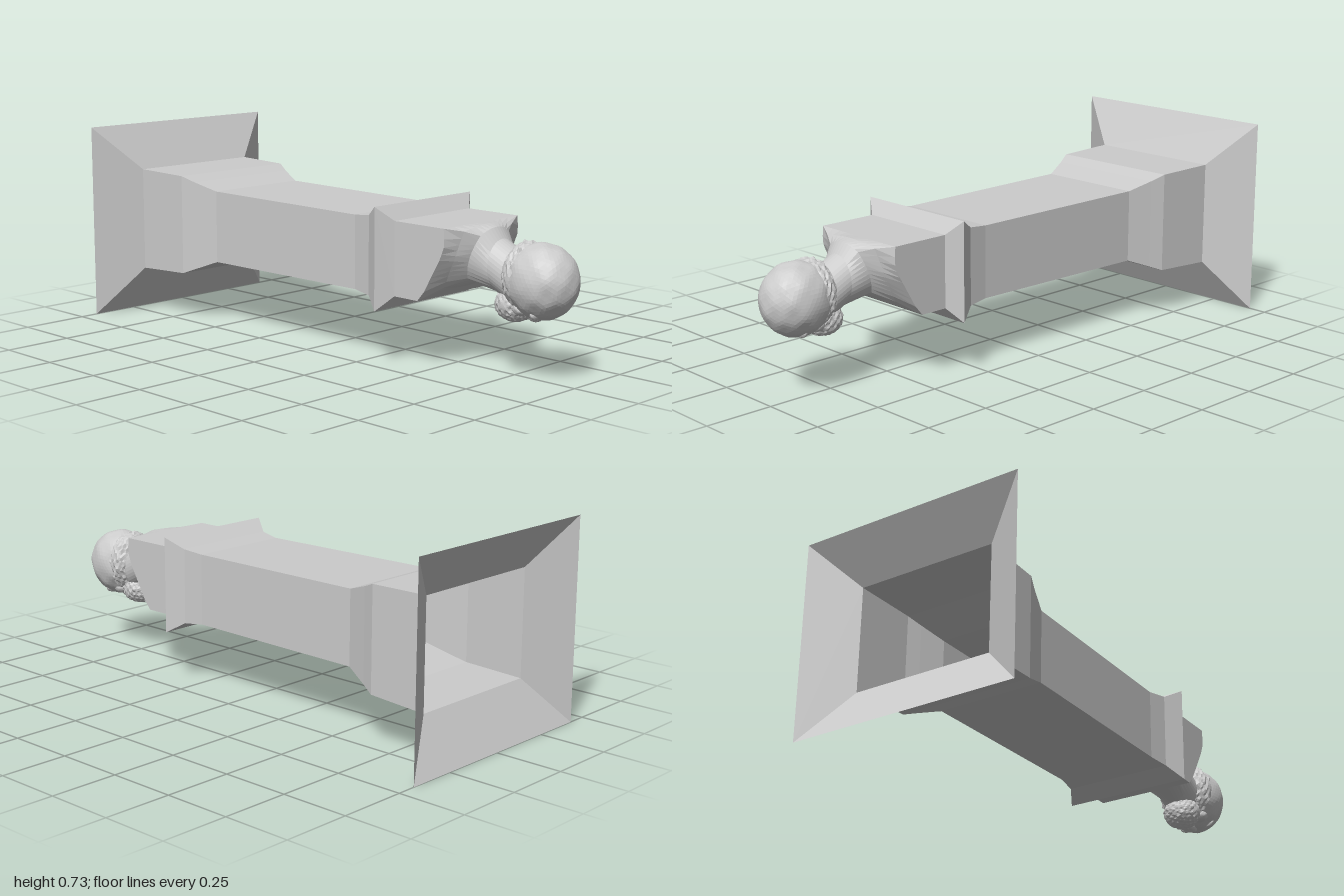
import * as THREE from 'three';

const grey = () => new THREE.MeshStandardMaterial({ color: 0xcccccc, flatShading: true, side: THREE.DoubleSide });

// Skin a list of rings, each an array of [x, y, z] running anticlockwise about +z
function loft(name, rings) {
  const n = rings[0].length, index = [];
  for (let r = 0; r < rings.length - 1; r++) {
    for (let i = 0; i < n; i++) {
      const a = r * n + i, b = r * n + (i + 1) % n;
      index.push(a, b, b + n, a, b + n, a + n);
    }
  }
  const geo = new THREE.BufferGeometry();
  geo.setAttribute('position', new THREE.Float32BufferAttribute(rings.flat(2), 3));
  geo.setIndex(index);
  geo.computeVertexNormals();
  const mesh = new THREE.Mesh(geo, grey());
  mesh.name = name;
  return mesh;
}

// Ring between an ellipse (square = 0) and a rectangle (square = 1); zAt gives depth from height
function ring(n, x0, x1, y0, y1, square, zAt) {
  return Array.from({ length: n }, (_, i) => {
    const t = Math.PI / 4 + i / n * Math.PI * 2, c = Math.cos(t), s = Math.sin(t);
    const k = 1 + square * (1 / Math.max(Math.abs(c), Math.abs(s)) - 1);
    const y = (y0 + y1) / 2 + s * k * (y1 - y0) / 2;
    return [(x0 + x1) / 2 + c * k * (x1 - x0) / 2, y, zAt(y)];
  });
}

// Piecewise linear curve through [input, output] pairs
function curve(points) {
  return v => {
    let i = 1;
    while (i < points.length - 1 && v > points[i][0]) i++;
    const [a, b] = [points[i - 1], points[i]];
    return THREE.MathUtils.mapLinear(THREE.MathUtils.clamp(v, a[0], b[0]), a[0], b[0], a[1], b[1]);
  };
}

// Ellipsoid with a carved, chiselled surface
function carved(name, [x, y, z], [rx, ry, rz], rough, freq) {
  const geo = new THREE.IcosahedronGeometry(1, 9);
  const p = geo.attributes.position, v = new THREE.Vector3();
  for (let i = 0; i < p.count; i++) {
    v.fromBufferAttribute(p, i);
    const bump = Math.sin(v.x * freq + 1.3) * Math.sin(v.y * freq + 0.4) * Math.sin(v.z * freq * 1.1 + 2);
    const wave = Math.sin(v.x * 5 + v.y * 4) * Math.sin(v.z * 6 + 1);
    v.multiplyScalar(1 + rough * (bump + 0.3 * wave));
    p.setXYZ(i, v.x, v.y, v.z);
  }
  geo.scale(rx, ry, rz);
  geo.computeVertexNormals();
  const mesh = new THREE.Mesh(geo, grey());
  mesh.name = name;
  mesh.position.set(x, y, z);
  return mesh;
}

export function createModel() {
  const model = new THREE.Group();
  model.name = 'hermPillar';

  // Hollow pillar, open at the base: z, x0, x1, y0, y1
  const sections = [
    [-1, -0.43, 0.43, 0, 0.733],
    [-0.9, -0.263, 0.263, 0.175, 0.565],
    [-0.67, -0.26, 0.252, 0.185, 0.56],
    [-0.62, -0.24, 0.232, 0.205, 0.54],
    [-0.53, -0.208, 0.2, 0.24, 0.51],
    [0.2, -0.205, 0.185, 0.243, 0.506],
    [0.28, -0.22, 0.195, 0.235, 0.515],
    [0.345, -0.26, 0.232, 0.195, 0.555],
    [0.385, -0.203, 0.18, 0.245, 0.505],
  ];
  model.add(loft('pillar', sections.map(([z, ...box]) => ring(4, ...box, 1, () => z))));

  // Squared shoulders with a slanted front, drawn in to the neck
  const edge = curve([[0.245, 0.49], [0.28, 0.52], [0.4, 0.59], [0.45, 0.61], [0.505, 0.605]]);
  const chest = curve([[0.25, 0.51], [0.3, 0.56], [0.4, 0.615], [0.5, 0.64]]);
  const throat = curve([[0.29, 0.6], [0.5, 0.675]]);
  const n = 40;
  model.add(loft('shouldersAndNeck', [
    ring(n, -0.203, 0.18, 0.245, 0.505, 1, () => 0.385),
    ring(n, -0.203, 0.18, 0.245, 0.505, 1, edge),
    ring(n, -0.155, 0.13, 0.275, 0.505, 0.6, chest),
    ring(n, -0.11, 0.082, 0.3, 0.497, 0.2, throat),
    ring(n, -0.092, 0.066, 0.28, 0.46, 0, () => 0.7),
    ring(n, -0.09, 0.064, 0.25, 0.43, 0, () => 0.76),
    ring(n, -0.08, 0.055, 0.25, 0.41, 0, () => 0.82),
  ]));

  // Head, its crown towards +z and its face towards the underside
  const head = new THREE.Group();
  head.name = 'head';
  head.add(carved('skull', [-0.015, 0.34, 0.87], [0.116, 0.128, 0.129], 0.02, 8));
  head.add(carved('hairCurls', [-0.015, 0.35, 0.81], [0.108, 0.117, 0.068], 0.06, 17));
  head.add(carved('beard', [-0.018, 0.252, 0.765], [0.072, 0.062, 0.07], 0.06, 14));
  head.add(carved('nose', [-0.018, 0.222, 0.845], [0.016, 0.022, 0.032], 0.02, 6));
  for (const side of [-1, 1]) {
    head.add(carved('brow', [-0.018 + side * 0.04, 0.24, 0.885], [0.035, 0.022, 0.014], 0.03, 6));
    head.add(carved('cheek', [-0.018 + side * 0.045, 0.25, 0.825], [0.032, 0.025, 0.03], 0.03, 6));
  }
  model.add(head);
  return model;
}
